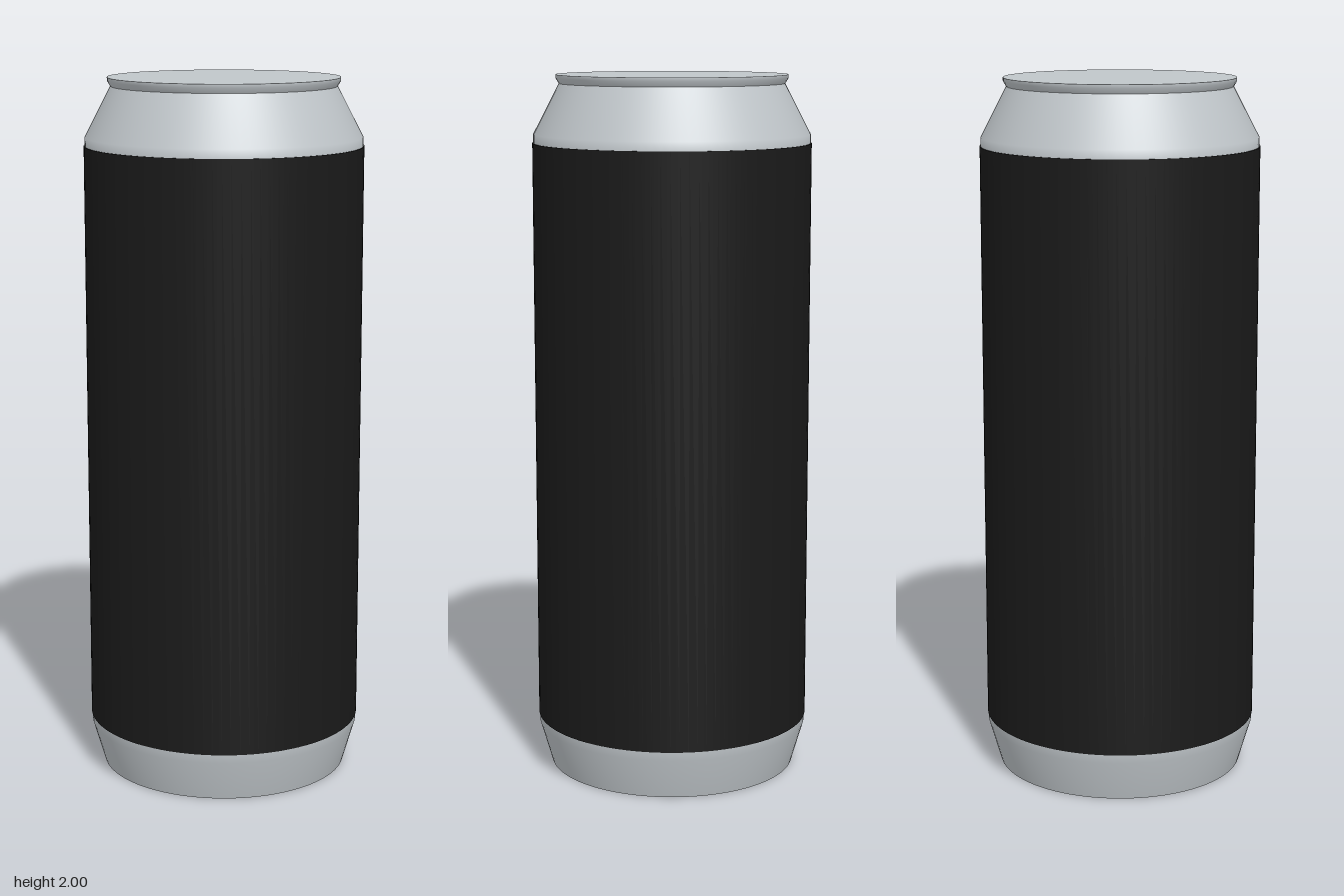
import * as THREE from 'three';

const SEGMENTS = 96;

export function createModel() {
  const can = new THREE.Group();
  can.name = 'drinkCan';

  const silver = new THREE.MeshStandardMaterial({ color: 0xc0c6ca });
  silver.name = 'silver';
  const black = new THREE.MeshStandardMaterial({ color: 0x1a1a1a });
  black.name = 'black';

  // Each surface is turned separately so the edges between them stay sharp
  const turn = (name, material, profile) => {
    const points = profile.map(([r, y]) => new THREE.Vector2(r, y));
    const mesh = new THREE.Mesh(new THREE.LatheGeometry(points, SEGMENTS), material);
    mesh.name = name;
    can.add(mesh);
  };

  // Tapered foot, straight wall and sloping shoulder up to the neck
  turn('body', silver, [[0.355, 0], [0.39, 0.12], [0.39, 0.16], [0.39, 1.8], [0.39, 1.835], [0.317, 1.975]]);

  // Rim flaring out above the neck, closed by a flat lid
  turn('rim', silver, [[0.317, 1.975], [0.326, 1.99], [0.326, 2]]);
  turn('lid', silver, [[0.326, 2], [0, 2]]);

  // Shallow dome pushed up into the base
  const dome = [];
  for (let i = 0; i <= 8; i++) {
    const t = i / 8;
    dome.push([0.355 * t, 0.045 * (1 - t * t)]);
  }
  turn('base', silver, dome);

  // Dark sleeve wrapped around the wall
  turn('label', black, [[0.393, 0.145], [0.393, 1.81]]);
  turn('labelTopEdge', black, [[0.393, 1.81], [0.39, 1.81]]);
  turn('labelBottomEdge', black, [[0.39, 0.145], [0.393, 0.145]]);

  return can;
}
